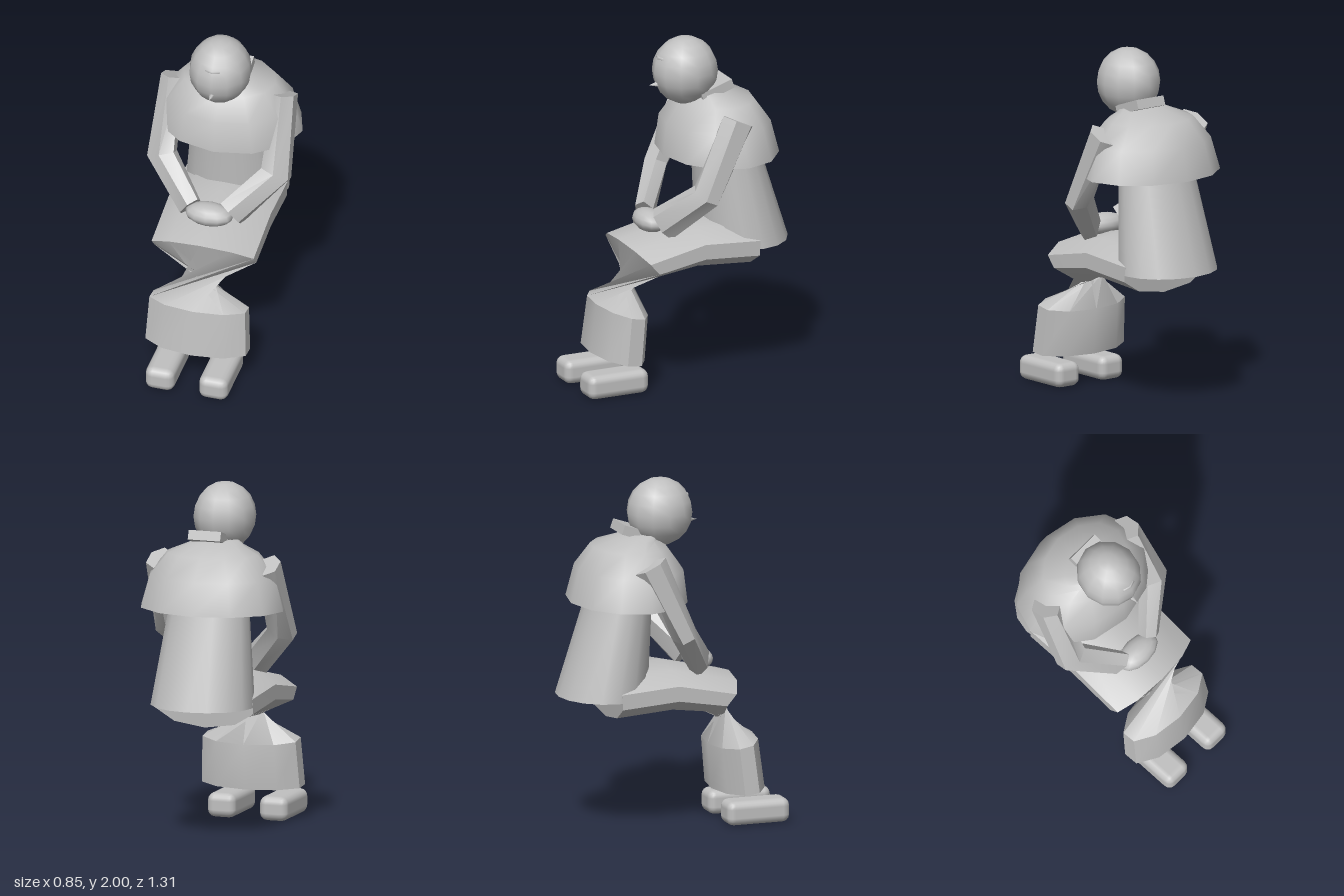
import * as THREE from 'three';
import { toCreasedNormals } from 'three/addons/utils/BufferGeometryUtils.js';
import { RoundedBoxGeometry } from 'three/addons/geometries/RoundedBoxGeometry.js';

const stone = new THREE.MeshStandardMaterial({ color: 0xc0c0c0, side: THREE.DoubleSide });
stone.name = 'stone grey';

// Skin n-sided rings {c: centre, u: side axis, v: front axis, turn: steps}, capped at both ends
function loft(rings, n, crease) {
  const pos = [], idx = [];
  for (const { c, u, v, turn = 0 } of rings) {
    for (let k = 0; k < n; k++) {
      const a = ((k + turn) / n) * Math.PI * 2;
      for (let i = 0; i < 3; i++) pos.push(c[i] + u[i] * Math.sin(a) + v[i] * Math.cos(a));
    }
  }
  for (let r = 0; r < rings.length - 1; r++) {
    for (let k = 0; k < n; k++) {
      const a = r * n + k, b = r * n + ((k + 1) % n);
      idx.push(a, b, b + n, a, b + n, a + n);
    }
  }
  const top = (rings.length - 1) * n;
  for (let k = 1; k < n - 1; k++) {
    idx.push(0, k + 1, k);
    idx.push(top, top + k, top + k + 1);
  }
  const g = new THREE.BufferGeometry();
  g.setAttribute('position', new THREE.Float32BufferAttribute(pos, 3));
  g.setIndex(idx);
  return toCreasedNormals(g, crease);
}

// Level elliptical ring
const oval = (y, rx, rz, z) => ({ c: [0, y, z], u: [rx, 0, 0], v: [0, 0, rz] });

export function createModel() {
  const model = new THREE.Group();
  const add = (name, geometry, x = 0, y = 0, z = 0) => {
    const mesh = new THREE.Mesh(geometry, stone);
    mesh.name = name;
    mesh.position.set(x, y, z);
    model.add(mesh);
    return mesh;
  };

  // Leaning torso
  add('torso', loft([
    oval(0.78, 0.3, 0.255, -0.395),
    oval(1.315, 0.235, 0.185, -0.295),
    oval(1.55, 0.2, 0.16, -0.25),
  ], 16, 0.8));

  // Shoulder cape
  add('cape', loft([
    oval(1.315, 0.425, 0.333, -0.243),
    oval(1.5, 0.375, 0.3, -0.23),
    oval(1.625, 0.27, 0.21, -0.23),
    oval(1.665, 0.17, 0.12, -0.19),
    oval(1.69, 0.12, 0.09, -0.16),
  ], 12, 0.8));

  // Skirt from ankles to hips, twisted at the knee
  add('skirt', loft([
    { c: [0, 0.195, 0.405], u: [0.31, 0, 0], v: [0, 0.015, 0.14], turn: -4 },
    { c: [0, 0.465, 0.375], u: [0.295, 0, 0], v: [0, 0.025, 0.133], turn: -4 },
    { c: [0, 0.75, 0.28], u: [0.315, 0, 0], v: [0, 0.105, 0.09] },
    { c: [0, 0.81, -0.035], u: [0.315, 0, 0], v: [0, 0.14, 0] },
    { c: [0, 0.785, -0.375], u: [0.31, 0, 0], v: [0, 0.14, -0.01] },
  ], 10, 0.6));

  // Arms, from wrist to shoulder, and feet
  for (const s of [1, -1]) {
    const side = s > 0 ? 'left' : 'right';
    const rings = [
      { c: [s * 0.12, 0.95, 0.15], u: [s * 0.06, -0.065, 0], v: [0, 0.05, 0.058] },
      { c: [s * 0.335, 1.16, -0.02], u: [s * 0.09, -0.03, 0], v: [0, 0.03, 0.068] },
      { c: [s * 0.33, 1.57, -0.22], u: [s * 0.068, 0, -0.01], v: [0, 0.043, 0.09] },
    ];
    add(side + 'Arm', loft(s > 0 ? rings : rings.reverse(), 6, 0.5));
    add(side + 'Foot', new RoundedBoxGeometry(0.17, 0.14, 0.375, 2, 0.045), s * 0.157, 0.072, 0.47);
  }

  // Clasped hands
  add('hands', new THREE.SphereGeometry(1, 12, 8), 0, 0.945, 0.18).scale.set(0.14, 0.063, 0.082);

  // Head with nose and brow
  add('head', new THREE.SphereGeometry(1, 12, 10), 0, 1.805, -0.045).scale.set(0.177, 0.195, 0.19);
  add('nose', new THREE.ConeGeometry(0.022, 0.07, 6), 0, 1.742, 0.143).rotation.x = Math.PI / 2;
  add('brow', new THREE.SphereGeometry(1, 8, 6), 0, 1.893, 0.08).scale.set(0.06, 0.016, 0.048);

  // Neck and tilted collar flap
  add('neck', new THREE.CylinderGeometry(0.09, 0.11, 0.14, 12), 0, 1.66, -0.12);
  add('collarFlap', new THREE.BoxGeometry(0.195, 0.055, 0.2), 0.032, 1.695, -0.19).rotation.x = 0.33;

  return model;
}
